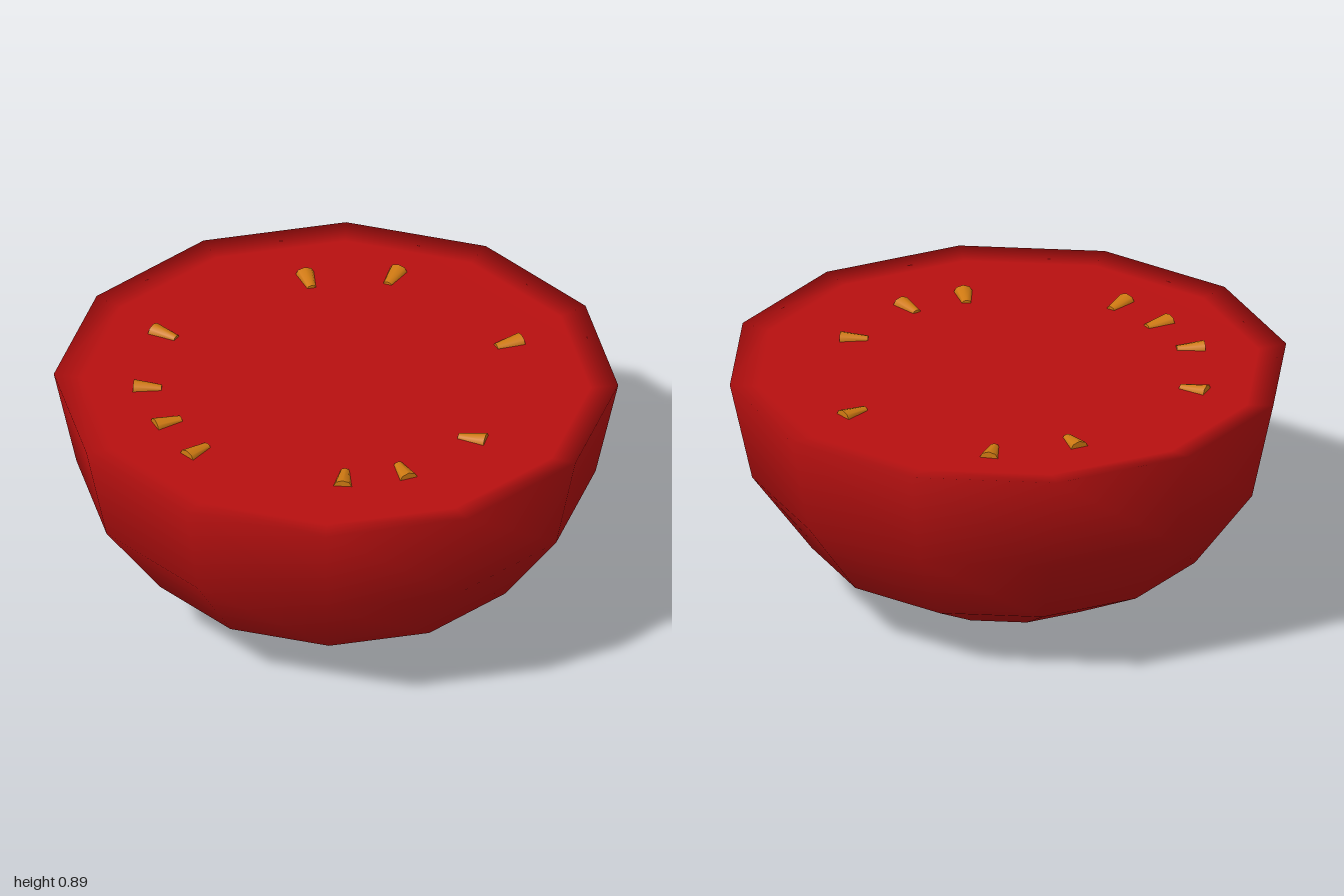
import * as THREE from 'three';

export function createModel() {
  const group = new THREE.Group();
  const red = new THREE.MeshStandardMaterial({ color: 0xb81010 });
  red.name = 'tomato red';
  const amber = new THREE.MeshStandardMaterial({ color: 0xd07a12 });
  amber.name = 'seed amber';

  // Halved fruit: twelve-sided bowl with a smooth rim and a barely sunken cut face
  const profile = [
    [0, 0.003], [0.385, 0.055], [0.705, 0.225], [0.92, 0.52],
    [1, 0.887], [0.9, 0.873], [0, 0.873],
  ].map(([r, y]) => new THREE.Vector2(r, y));
  const body = new THREE.Mesh(new THREE.LatheGeometry(profile, 12, 0.045), red);
  body.name = 'halvedFruit';
  group.add(body);

  // Seeds: flattened tapered pips, wide end pointing outward
  const seedGeometry = new THREE.CylinderGeometry(0.034, 0.017, 0.1, 8);
  seedGeometry.rotateX(Math.PI / 2); // wide end toward +z
  seedGeometry.scale(1, 0.75, 1);
  // x, z, outward direction x, outward direction z
  const seeds = [
    [0.19, -0.63, 0.2, -1], [0.47, -0.52, 0.75, -0.65],
    [-0.415, -0.54, -0.5, -0.85], [-0.615, -0.26, -0.85, -0.5],
    [-0.645, -0.03, -1, -0.03], [-0.63, 0.18, -0.93, 0.3],
    [-0.235, 0.56, -0.5, 0.85], [-0.025, 0.61, -0.05, 1],
    [0.285, 0.525, 0.75, 0.65], [0.66, 0.035, 1, -0.02],
  ];
  seeds.forEach(([x, z, dx, dz], i) => {
    const seed = new THREE.Mesh(seedGeometry, amber);
    seed.name = `seed${i + 1}`;
    seed.position.set(x, 0.871, z);
    seed.rotation.y = Math.atan2(dx, dz);
    group.add(seed);
  });

  return group;
}
